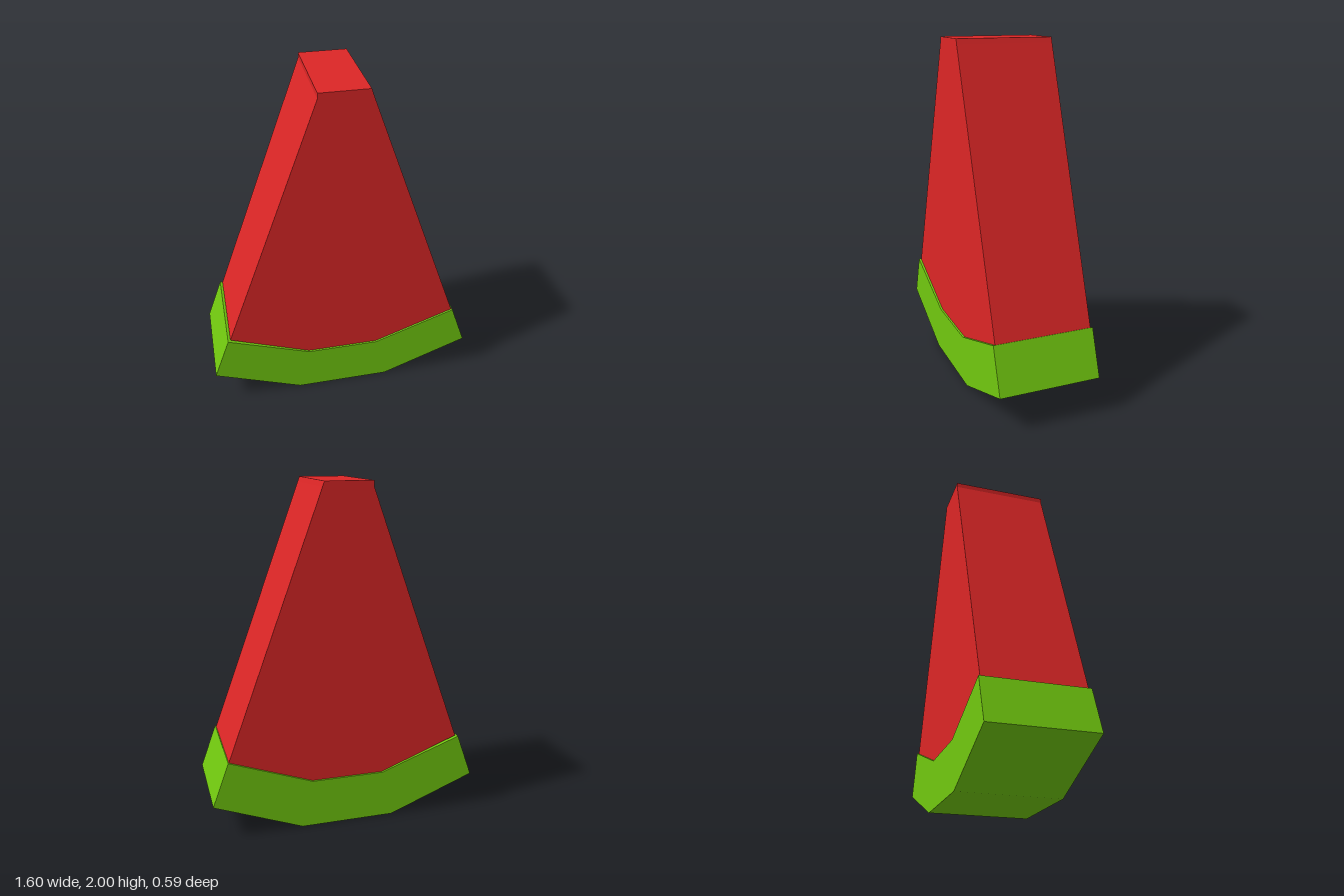
import * as THREE from 'three';

// Extrudes an outline of [x, y] points, centred on z = 0
function slab(name, points, depth, material) {
  const shape = new THREE.Shape(points.map(([x, y]) => new THREE.Vector2(x, y)));
  const geometry = new THREE.ExtrudeGeometry(shape, { depth, bevelEnabled: false });
  geometry.translate(0, 0, -depth / 2);
  const mesh = new THREE.Mesh(geometry, material);
  mesh.name = name;
  return mesh;
}

export function createModel() {
  const fleshRed = new THREE.MeshStandardMaterial({ color: 0xdc2626, flatShading: true });
  fleshRed.name = 'flesh red';
  const rindGreen = new THREE.MeshStandardMaterial({ color: 0x71c80f, flatShading: true });
  rindGreen.name = 'rind green';

  const group = new THREE.Group();
  group.name = 'melonSlice';

  // Tapered flesh with a blunt, slightly uneven tip
  group.add(slab('flesh', [
    [-0.215, 0.285], [0.215, 0.285], [0.7, 0.46],
    [0.146, 1.97], [0.136, 2], [-0.141, 2], [-0.141, 1.97], [-0.69, 0.465],
  ], 0.567, fleshRed));

  // Three-sided rind band, a little thicker than the flesh
  group.add(slab('rind', [
    [-0.28, 0], [0.28, 0], [0.8, 0.2], [0.705, 0.462],
    [0.215, 0.285], [-0.215, 0.285], [-0.705, 0.462], [-0.8, 0.2],
  ], 0.59, rindGreen));

  return group;
}
